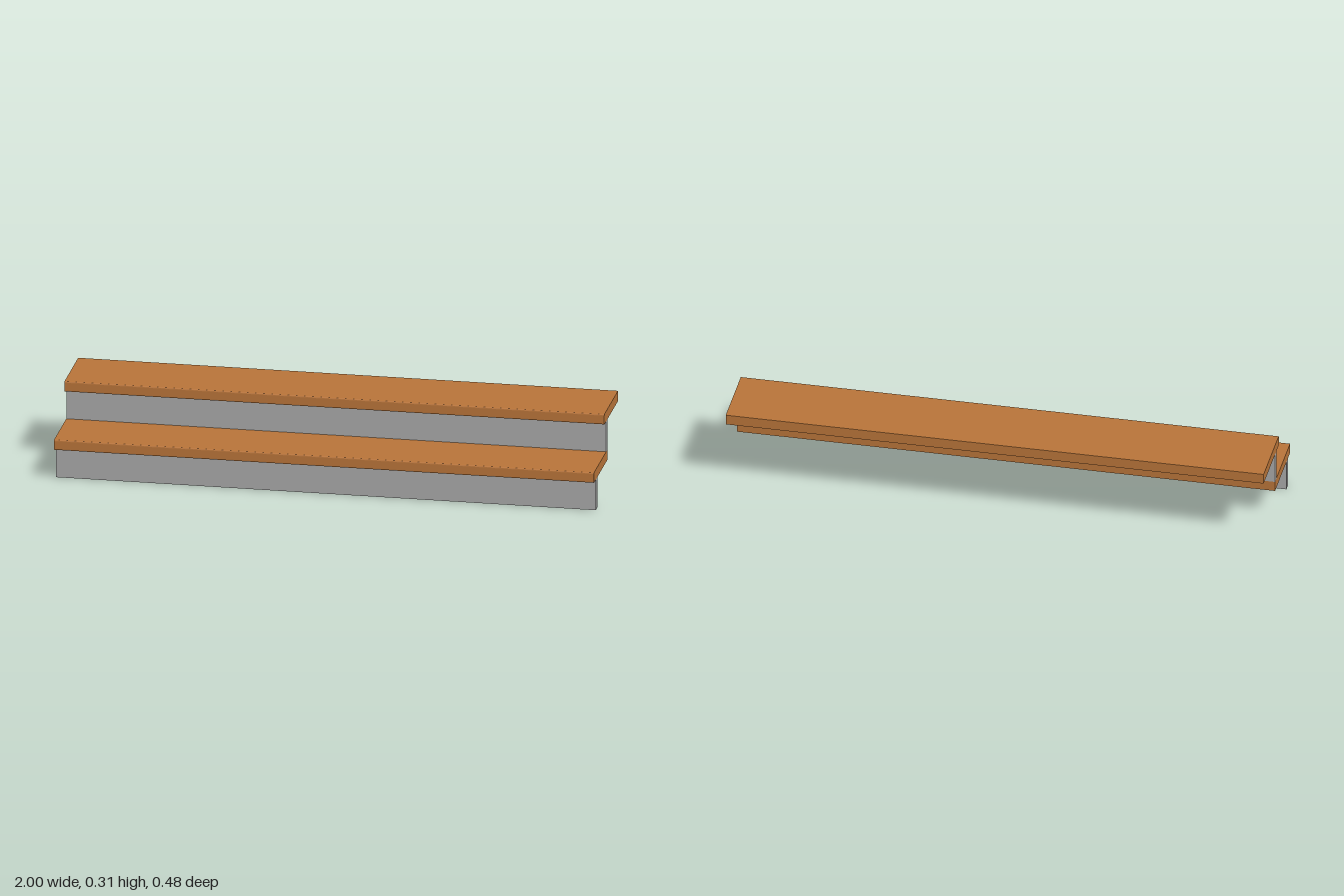
import * as THREE from 'three';

const LENGTH = 2;
const STEP_RISE = 0.156;
const STEP_RUN = 0.204;
const TREAD_THICK = 0.039;
const RISER_HEIGHT = STEP_RISE - TREAD_THICK;

export function createModel() {
  const wood = new THREE.MeshStandardMaterial({ name: 'wood', color: 0xb87439 });
  const grey = new THREE.MeshStandardMaterial({ name: 'greyPaint', color: 0xa8a8a8 });
  const group = new THREE.Group();
  group.name = 'stairs';

  // Tread section (z, y) with an eased front nosing, run along the width
  const back = -0.033, front = 0.238, top = TREAD_THICK, r = 0.005;
  const section = new THREE.Shape();
  section.moveTo(back, 0);
  section.lineTo(front - r, 0);
  section.quadraticCurveTo(front, 0, front, r);
  section.lineTo(front, top - r);
  section.quadraticCurveTo(front, top, front - r, top);
  section.lineTo(back, top);
  section.closePath();
  const treadGeometry = new THREE.ExtrudeGeometry(section, { depth: LENGTH, bevelEnabled: false, curveSegments: 3 });
  treadGeometry.translate(0, 0, -LENGTH / 2);
  treadGeometry.rotateY(-Math.PI / 2);

  const riserGeometry = new THREE.BoxGeometry(LENGTH, RISER_HEIGHT, 0.03);

  // Two steps, each a riser with a tread resting on it
  for (let i = 0; i < 2; i++) {
    const step = new THREE.Group();
    step.name = i === 0 ? 'lowerStep' : 'upperStep';
    step.position.set(0, i * STEP_RISE, -i * STEP_RUN);

    const riser = new THREE.Mesh(riserGeometry, grey);
    riser.name = 'riser';
    riser.position.set(0, RISER_HEIGHT / 2, 0.185);

    const tread = new THREE.Mesh(treadGeometry, wood);
    tread.name = 'tread';
    tread.position.y = RISER_HEIGHT;

    step.add(riser, tread);
    group.add(step);
  }
  return group;
}
